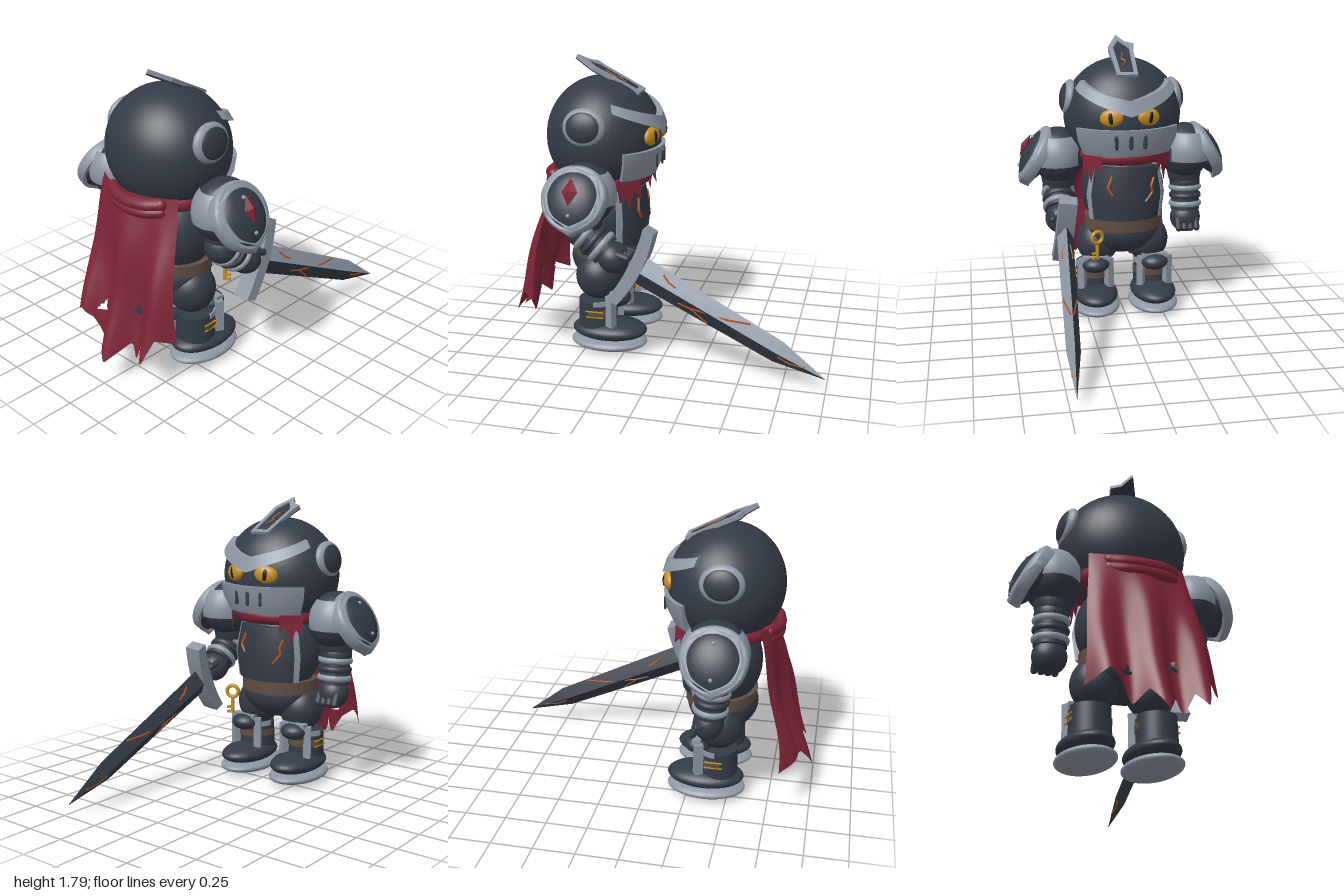
import * as THREE from 'three';
import { toCreasedNormals } from 'three/addons/utils/BufferGeometryUtils.js';

const mat = (name, color, side = THREE.FrontSide) => {
  const m = new THREE.MeshStandardMaterial({ color, side });
  m.name = name;
  return m;
};
const dark = mat('dark iron', 0x343b46), steel = mat('steel', 0x8d96a4), red = mat('red cloth', 0x7e2537, THREE.DoubleSide);
const brown = mat('leather', 0x5f4d43), gold = mat('gold', 0xc68f25), rust = mat('rust', 0xb8561b), black = mat('black', 0x15171b);
const V = (x, y, z) => new THREE.Vector3(x, y, z);

function add(parent, name, geo, material, p = [0, 0, 0], s = [1, 1, 1], r = [0, 0, 0]) {
  const m = new THREE.Mesh(geo, material);
  m.name = name;
  m.position.set(...p); m.scale.set(...s); m.rotation.set(...r);
  parent.add(m);
  return m;
}
function sub(parent, name, p = [0, 0, 0], r = [0, 0, 0]) {
  const g = new THREE.Group();
  g.name = name; g.position.set(...p); g.rotation.set(...r);
  parent.add(g);
  return g;
}
const ball = (parent, name, m, p, s) => add(parent, name, new THREE.SphereGeometry(1, 40, 28), m, p, s);
const box = (x, y, z) => new THREE.BoxGeometry(x, y, z);
const cyl = (a, b, h) => new THREE.CylinderGeometry(a, b, h, 36);
const shape = pts => new THREE.Shape(pts.map(p => new THREE.Vector2(...p)));

// closed solid through equal-length rings, facing outward
function loft(rings, crease = 0.6) {
  const tris = [], n = rings.length, k = rings[0].length;
  for (let j = 0; j < k; j++) for (let i = 0; i < n - 1; i++) {
    const a = rings[i][j], b = rings[i][(j + 1) % k], c = rings[i + 1][(j + 1) % k], d = rings[i + 1][j];
    tris.push([a, b, c], [a, c, d]);
  }
  for (let j = 1; j < k - 1; j++) {
    tris.push([rings[0][0], rings[0][j + 1], rings[0][j]], [rings[n - 1][0], rings[n - 1][j], rings[n - 1][j + 1]]);
  }
  const volume = tris.reduce((s, [a, b, c]) => s + a.dot(b.clone().cross(c)), 0);
  if (volume < 0) tris.forEach(t => t.reverse());
  return toCreasedNormals(new THREE.BufferGeometry().setFromPoints(tris.flat()), crease);
}
// plate wrapped round the -z side; profile(t) lists [y, rx, rz]
function band(parent, name, m, span, cz, profile, n = 32, centre = 0) {
  const rings = [];
  for (let i = 0; i <= n; i++) {
    const t = i / n * 2 - 1, a = centre + t * span;
    rings.push(profile(t).map(([y, rx, rz]) => V(rx * Math.sin(a), y, cz - rz * Math.cos(a))));
  }
  return add(parent, name, loft(rings), m);
}
function crack(parent, pts, r = 0.007) {
  const path = new THREE.CurvePath();
  for (let i = 1; i < pts.length; i++) path.add(new THREE.LineCurve3(V(...pts[i - 1]), V(...pts[i])));
  add(parent, 'crack', new THREE.TubeGeometry(path, pts.length * 6, r, 5), rust);
}

function buildHead(g) {
  const cz = 0.43;
  ball(g, 'helmet', dark, [0, 1.31, cz], [0.375, 0.36, 0.345]);
  // V-shaped brow following the helmet
  band(g, 'brow', steel, 1.1, cz, t => {
    const u = Math.abs(t), lo = 1.35 + 0.15 * u, hi = lo + 0.09 - 0.045 * u;
    const at = (y, k) => { const s = Math.sqrt(1 - ((y - 1.31) / 0.36) ** 2) * k; return [y, 0.375 * s, 0.345 * s]; };
    return [at(lo, 0.97), at(lo, 1.11), at(hi, 1.11), at(hi, 0.97)];
  });
  band(g, 'faceGuard', steel, 0.95, cz, () => [[1.09, 0.28, 0.26], [1.09, 0.335, 0.315],
    [1.18, 0.38, 0.355], [1.265, 0.395, 0.367], [1.265, 0.34, 0.31]]);
  for (const a of [-0.23, 0, 0.23])
    add(g, 'breathSlot', new THREE.CapsuleGeometry(0.013, 0.065, 4, 10), dark,
      [0.386 * Math.sin(a), 1.19, cz - 0.359 * Math.cos(a)], [1, 1, 0.5], [0, a, 0]);
  for (const s of [-1, 1]) {
    const eye = sub(g, 'eye', [s * 0.115, 1.34, 0.105], [0, -s * 0.33, -s * 0.12]);
    ball(eye, 'iris', gold, [0, 0, 0], [0.073, 0.054, 0.032]);
    ball(eye, 'pupil', black, [0, 0, -0.026], [0.015, 0.036, 0.01]);
    const ear = sub(g, 'earDisc', [s * 0.34, 1.42, 0.445], [0, 0, s * 0.16]);
    ball(ear, 'earRim', steel, [0, 0, 0], [0.05, 0.112, 0.128]);
    ball(ear, 'earCap', dark, [s * 0.013, 0, 0], [0.045, 0.096, 0.109]);
  }
  // crest plate with a raised rim and a plain back
  const crest = sub(g, 'crest', [0, 1.675, 0.39], [1.1, 0, 0]);
  const outer = [[-0.065, -0.22], [0.065, -0.22], [0.08, 0.09], [0.015, 0.225], [-0.03, 0.15], [-0.09, 0.12], [-0.075, 0.06]];
  const inner = [[-0.04, -0.19], [0.04, -0.19], [0.05, 0.08], [0.01, 0.16], [-0.05, 0.07]];
  const rim = shape(outer);
  rim.holes.push(new THREE.Path(inner.map(p => new THREE.Vector2(...p))));
  const slab = (s, depth) => new THREE.ExtrudeGeometry(s, { depth, bevelEnabled: false });
  add(crest, 'crestRim', slab(rim, 0.024), steel, [0, 0, -0.015]);
  add(crest, 'crestCore', slab(shape(inner), 0.016), dark, [0, 0, -0.008]);
  add(crest, 'crestBack', slab(shape(outer), 0.006), dark, [0, 0, 0.009]);
  crack(crest, [[0.02, -0.12, -0.01], [-0.01, -0.06, -0.01], [0.015, -0.04, -0.01], [0, 0.03, -0.01]], 0.005);
}

function buildBody(g) {
  ball(g, 'torso', dark, [0, 0.82, 0.42], [0.27, 0.28, 0.24]);
  ball(g, 'pelvis', dark, [0, 0.55, 0.43], [0.25, 0.165, 0.215]);
  add(g, 'belt', cyl(0.25, 0.25, 0.08), brown, [0, 0.61, 0.42], [1, 1, 0.87]);
  // breastplate overlapping the belt, with bright side edges
  const plate = k => [[0.655, 0.2 * k, 0.17], [0.655, 0.265 * k, 0.24], [0.82, 0.285 * k, 0.262], [1.0, 0.25 * k, 0.235], [1.0, 0.19 * k, 0.16]];
  band(g, 'chestPlate', dark, 0.92, 0.42, () => plate(1));
  for (const s of [-1, 1]) band(g, 'chestTrim', steel, 0.07, 0.42, () => plate(1.03), 6, s * 0.96);
  crack(g, [[-0.17, 0.93, 0.214], [-0.15, 0.88, 0.197], [-0.16, 0.84, 0.202], [-0.11, 0.78, 0.181]], 0.008);
  crack(g, [[0.1, 0.95, 0.193], [0.13, 0.88, 0.185], [0.1, 0.83, 0.176]], 0.008);
  // key hanging from the belt
  const key = sub(g, 'key', [0.2, 0.56, 0.18], [0, 0.4, 0]);
  add(key, 'keyRing', new THREE.TorusGeometry(0.037, 0.012, 10, 28), gold);
  add(key, 'keyShaft', cyl(0.011, 0.011, 0.11), gold, [0, -0.088, 0]);
  for (const y of [-0.105, -0.135]) add(key, 'keyTooth', box(0.035, 0.015, 0.015), gold, [0.018, y, 0]);
}

function buildLeg(g, s) {
  const leg = sub(g, s > 0 ? 'leftLeg' : 'rightLeg', [s * 0.195, 0, 0]);
  ball(leg, 'thigh', dark, [-s * 0.03, 0.46, 0.43], [0.14, 0.15, 0.145]);
  add(leg, 'bootShaft', cyl(0.115, 0.12, 0.2), dark, [0, 0.22, 0.435]);
  ball(leg, 'foot', dark, [0, 0.125, 0.36], [0.148, 0.065, 0.235]);
  ball(leg, 'sole', steel, [0, 0.048, 0.365], [0.162, 0.048, 0.24]);
  ball(leg, 'kneeCap', dark, [0, 0.335, 0.31], [0.09, 0.055, 0.085]);
  for (const k of [-1, 1]) add(leg, 'shinGuard', box(0.045, 0.2, 0.05), steel, [k * 0.088, 0.27, 0.325], [1, 1, 1], [0, -k * 0.5, 0]);
  add(leg, 'shinGuardTop', box(0.17, 0.03, 0.05), steel, [0, 0.375, 0.31]);
  // boot cuff, and a strap across the front edged in gold
  const cuff = (y0, y1, r) => [[y0, 0.11, 0.11], [y0, r, r], [y1, r, r], [y1, 0.11, 0.11]];
  band(leg, 'bootCuff', steel, 1.5, 0.435, () => cuff(0.3, 0.33, 0.121), 20);
  band(leg, 'bootStrap', brown, 1.75, 0.435, () => cuff(0.232, 0.272, 0.123), 20);
  for (const y of [0.234, 0.27]) add(leg, 'strapEdge', box(0.008, 0.006, 0.11), gold, [s * 0.12, y, 0.42]);
}

function buildArm(g, s) {
  const arm = sub(g, s > 0 ? 'leftArm' : 'rightArm');
  ball(arm, 'shoulder', dark, [s * 0.415, 1.05, 0.43], [0.165, 0.182, 0.185]);
  add(arm, 'shoulderBand', new THREE.SphereGeometry(0.197, 40, 16, 0, Math.PI * 2, 0.8, 1), steel, [s * 0.425, 1.05, 0.43], [0.86, 1, 1]);
  ball(arm, 'upperArm', dark, [s * 0.415, 0.93, 0.43], [0.112, 0.16, 0.11]);
  // shield-shaped shoulder pad, domed outward
  const pad = sub(sub(arm, 'shoulderPad', [s * 0.578, 1.062, 0.44], [0, 0, s * 0.48]), 'padFace', [0, 0, 0], [0, s * Math.PI / 2, 0]);
  const outline = k => [[0, -0.2], [0.13, -0.125], [0.185, 0], [0.165, 0.1], [0.1, 0.17], [0, 0.195],
    [-0.1, 0.17], [-0.165, 0.1], [-0.185, 0], [-0.13, -0.125]].map(p => new THREE.Vector2(p[0] * k, p[1] * k));
  const curve = k => new THREE.SplineCurve([...outline(k), outline(k)[0]]).getPoints(48).slice(0, -1);
  const rim = new THREE.Shape(curve(0.96));
  rim.holes.push(new THREE.Path(curve(0.83)));
  const rimGeo = new THREE.ExtrudeGeometry(rim, { depth: 0.045, bevelSize: 0.013, bevelThickness: 0.013, bevelSegments: 3 });
  const p = rimGeo.attributes.position;
  for (let i = 0; i < p.count; i++) p.setZ(i, p.getZ(i) - 1.5 * (p.getX(i) ** 2 + p.getY(i) ** 2));
  add(pad, 'padRim', toCreasedNormals(rimGeo, 0.7), steel);
  ball(pad, 'padDome', dark, [0, 0, -0.025], [0.168, 0.178, 0.085]);
  for (const y of [0.1, -0.1]) ball(pad, 'rivet', steel, [0, y, 0.045], [0.012, 0.012, 0.012]);
  if (s > 0) add(pad, 'diamond', new THREE.OctahedronGeometry(1), red, [0, 0.03, 0.066], [0.047, 0.08, 0.025]);
  // gauntlet: hangs on the right, reaches forward on the left
  const fore = sub(arm, 'forearm', [s * 0.42, s > 0 ? 0.83 : 0.84, s > 0 ? 0.445 : 0.425], [s > 0 ? 0.9 : 0.1, 0, 0]);
  ball(fore, 'elbow', dark, [0, 0, 0], [0.1, 0.1, 0.1]);
  add(fore, 'gauntlet', cyl(0.09, 0.095, 0.17), dark, [0, -0.1, 0]);
  for (const y of [-0.035, -0.145])
    add(fore, 'gauntletRing', new THREE.TorusGeometry(0.092, 0.016, 12, 36), steel, [0, y, 0], [1, 1, 1.2], [Math.PI / 2, 0, 0]);
  add(fore, 'gauntletRidge', new THREE.TorusGeometry(0.092, 0.014, 12, 36), dark, [0, -0.09, 0], [1, 1, 1.3], [Math.PI / 2, 0, 0]);
  ball(fore, 'hand', dark, [0, -0.24, 0], [0.1, 0.1, 0.09]);
  for (let i = 0; i < 4; i++)
    add(fore, 'finger', new THREE.CapsuleGeometry(0.021, 0.06, 4, 12), dark, [-0.06 + i * 0.04, -0.275, -0.065], [1, 1, 1], [0.35, 0, 0]);
}

function buildSword(g) {
  const sword = sub(g, 'sword', [0.4, 0.635, 0.15], [-0.457, -0.05, 0.07]);
  const guard = [];
  for (let i = 0; i <= 8; i++) {
    const t = i / 4 - 1, z = -0.03 * (1 - t * t), w = 0.04 - 0.005 * Math.abs(t);
    guard.push([[-0.055, -w], [0.055, -w], [0.055, w], [-0.055, w]].map(([x, d]) => V(x, t * 0.245, z + d)));
  }
  add(sword, 'crossguard', loft(guard, 0.4), steel);
  add(sword, 'grip', cyl(0.03, 0.03, 0.2), dark, [0, 0, 0.1], [1, 1, 1], [Math.PI / 2, 0, 0]);
  // diamond-section blade from four wedges, one of them bright
  const half = t => {
    const k = t < 0.97 ? 1 : (1.28 - t) / 0.31;
    return [(0.051 - 0.012 * Math.min(t, 1)) * k + 0.001, (0.087 - 0.02 * Math.min(t, 1)) * k + 0.001];
  };
  for (const sx of [-1, 1]) for (const sy of [-1, 1]) {
    const rings = [0.05, 0.97, 1.28].map(t => {
      const [x, y] = half(t);
      return [V(0, 0, -t), V(sx * x, 0, -t), V(0, sy * y, -t)];
    });
    add(sword, 'bladeBevel', loft(rings, 0.2), sx > 0 && sy > 0 ? steel : dark);
  }
  const lines = [[[0.19, 0.056], [0.24, 0.035], [0.29, 0.029]], [[0.34, -0.048], [0.42, -0.036], [0.54, -0.07]],
    [[0.42, -0.036], [0.47, -0.018], [0.63, 0.02], [0.76, 0.062]], [[0.98, -0.018], [1.06, -0.02], [1.147, 0.004]]];
  for (const s of [-1, 1]) for (const l of lines)
    crack(sword, l.map(([t, h]) => { const [x, y] = half(t); return [s * x * (1 - Math.abs(h) / y), h, -t]; }), 0.006);
}

function buildCape(g) {
  // hem height along the width, and the torn holes
  const hem = [[0, 0.28], [0.13, 0.36], [0.22, 0.31], [0.31, 0.19], [0.4, 0.27], [0.49, 0.14], [0.62, 0.26],
    [0.66, 0.165], [0.75, 0.29], [0.81, 0.21], [0.89, 0.36], [1, 0.33]];
  const hemAt = u => {
    const i = Math.max(1, hem.findIndex(h => h[0] >= u)), [a, b] = [hem[i - 1], hem[i]];
    return a[1] + (b[1] - a[1]) * (u - a[0]) / (b[0] - a[0]);
  };
  const holes = [[-0.15, 0.36, 0.07], [0.12, 0.43, 0.07]];
  const nu = 72, nv = 50, pos = [], idx = [];
  for (let j = 0; j <= nv; j++) for (let i = 0; i <= nu; i++) {
    const u = i / nu, e = 2 * u - 1, top = 1.12 + 0.02 * e * e, y = top + (hemAt(u) - top) * j / nv;
    const v = 1.14 - y, x = e * (0.29 + 0.11 * v) + 0.02 * v;
    pos.push(x, y, 0.73 + 0.2 * v + 0.06 * v * Math.cos(x * Math.PI * 2 / 0.27) - 0.08 * e * e * (1 - 0.4 * v) + 0.012 * Math.sin(9 * y + 7 * x));
  }
  const torn = t => {
    const c = k => t.reduce((s, q) => s + pos[q * 3 + k], 0) / 3;
    return holes.some(([x, y, h]) => { const d = c(1) - y; return d > 0 && d < h && Math.abs(c(0) - x - d * 0.2) < (h - d) * 0.45; });
  };
  for (let j = 0; j < nv; j++) for (let i = 0; i < nu; i++) {
    const a = j * (nu + 1) + i, b = a + nu + 1;
    for (const t of [[a, b, a + 1], [b, b + 1, a + 1]]) if (!torn(t)) idx.push(...t);
  }
  const geo = new THREE.BufferGeometry();
  geo.setAttribute('position', new THREE.Float32BufferAttribute(pos, 3));
  geo.setIndex(idx); geo.computeVertexNormals();
  add(g, 'cape', geo, red);
  // scarf ring, rolled collar and ragged front ends
  add(g, 'scarf', new THREE.TorusGeometry(0.25, 0.05, 14, 48), red, [0, 1.07, 0.44], [1.04, 1, 1], [Math.PI / 2, 0, 0]);
  for (const [y, r] of [[1.085, 0.036], [1.04, 0.034]]) {
    const path = new THREE.CatmullRomCurve3([V(-0.18, y + 0.01, 0.7), V(-0.1, y, 0.735), V(0.01, y - 0.005, 0.75), V(0.12, y, 0.735), V(0.2, y + 0.01, 0.69)]);
    add(g, 'collarRoll', new THREE.TubeGeometry(path, 32, r, 12), red);
    for (const e of [path.getPoint(0), path.getPoint(1)]) ball(g, 'collarEnd', red, e.toArray(), [r, r, r]);
  }
  const rag = new THREE.ShapeGeometry(shape([[-0.08, 0.05], [-0.07, -0.08], [-0.025, -0.03], [0.01, -0.14], [0.035, -0.05], [0.07, -0.09], [0.08, 0.05]]));
  for (const s of [-1, 1]) add(g, 'scarfEnd', rag, red, [s * 0.225, 1.05, 0.215], [s, 1, 1], [0.1, -s * 0.85, 0]);
}

export function createModel() {
  const root = new THREE.Group();
  root.name = 'armouredKnight';
  const body = sub(root, 'figure', [-0.01, 0, 0]);
  buildHead(body);
  buildBody(body);
  for (const s of [-1, 1]) { buildLeg(body, s); buildArm(body, s); }
  buildCape(body);
  buildSword(root);
  return root;
}
